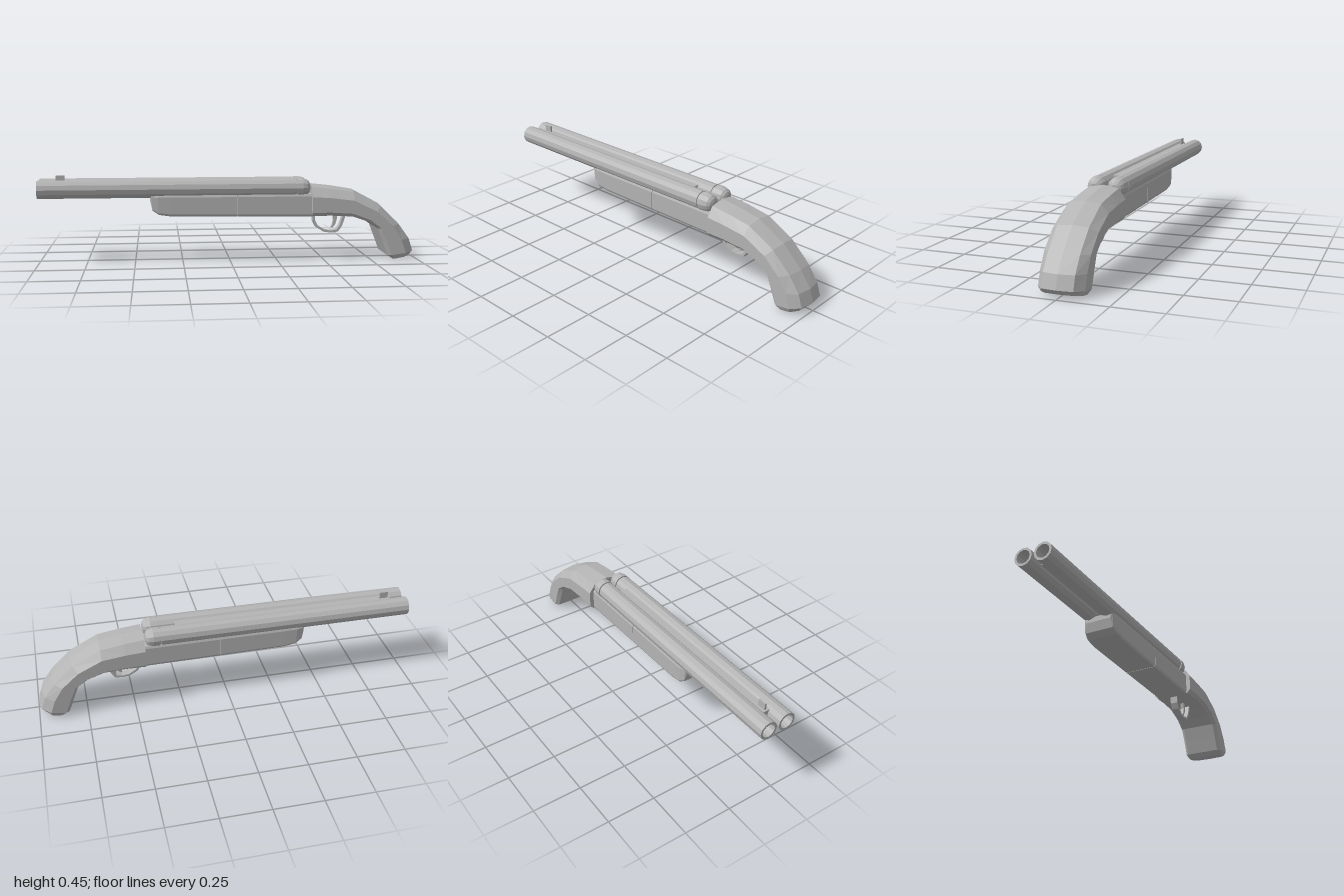
import * as THREE from 'three';

const steel = new THREE.MeshStandardMaterial({ color: 0xb4b4b4, flatShading: true });
steel.name = 'grey';

function add(parent, name, geometry) {
  const mesh = new THREE.Mesh(geometry, steel);
  mesh.name = name;
  parent.add(mesh);
  return mesh;
}

// Closed skin over loops that advance along x (each loop runs top, +z, bottom, -z)
function loft(loops) {
  const n = loops[0].length, last = (loops.length - 1) * n, index = [];
  for (let i = 0; i < loops.length - 1; i++) {
    for (let j = 0; j < n; j++) {
      const a = i * n + j, b = i * n + (j + 1) % n;
      index.push(a, b, b + n, a, b + n, a + n);
    }
  }
  for (let j = 1; j < n - 1; j++) {
    index.push(0, j + 1, j, last, last + j, last + j + 1);
  }
  const g = new THREE.BufferGeometry();
  g.setAttribute('position', new THREE.Float32BufferAttribute(loops.flat(2), 3));
  g.setIndex(index);
  g.computeVertexNormals();
  return g;
}

// Mirrored section between a top and a bottom point; half is a list of [z, height 0..1]
function section(half, [tx, ty, bx, by, w = 1]) {
  const mirrored = half.filter(([z]) => z > 0).map(([z, t]) => [-z, t]).reverse();
  return [...half, ...mirrored].map(([z, t]) => [bx + (tx - bx) * t, by + (ty - by) * t, z * w]);
}

// Profile [radius, x] turned around the x axis
function turned(profile, sides) {
  const g = new THREE.LatheGeometry(profile.map(([r, x]) => new THREE.Vector2(r, x)), sides);
  return g.rotateZ(-Math.PI / 2);
}

// Outline in the xy plane, extruded evenly about z = 0
function plate(points, depth) {
  const shape = new THREE.Shape(points.map(([x, y]) => new THREE.Vector2(x, y)));
  return new THREE.ExtrudeGeometry(shape, { depth, bevelEnabled: false }).translate(0, 0, -depth / 2);
}

export function createModel() {
  const model = new THREE.Group();
  model.name = 'doubleBarrel';

  // Hollow barrels with domed breech caps behind a narrow groove
  for (const side of [1, -1]) {
    const barrel = new THREE.Group();
    barrel.name = side > 0 ? 'leftBarrel' : 'rightBarrel';
    barrel.position.set(0, 0.388, side * 0.053);
    add(barrel, 'tube', turned([[0, 0.3], [0.036, 0.3], [0.036, -1], [0.048, -1], [0.048, 0.345], [0, 0.345]], 12));
    add(barrel, 'groove', turned([[0.042, 0.34], [0.042, 0.36]], 12));
    add(barrel, 'breechCap', turned([[0, 0.353], [0.049, 0.353], [0.049, 0.385], [0.043, 0.407], [0.032, 0.42], [0.018, 0.426], [0, 0.426]], 12));
    model.add(barrel);
  }

  // Rib between the barrels and the front sight
  add(model, 'rib', new THREE.BoxGeometry(1.18, 0.045, 0.04)).position.set(-0.33, 0.398, 0);
  add(model, 'frontSight', new THREE.BoxGeometry(0.045, 0.045, 0.01)).position.set(-0.888, 0.433, 0);

  // Fore-end with a tapered nose, then the receiver
  const boxy = [[0.085, 1], [0.09, 0.9], [0.09, 0.1], [0.084, 0]];
  const nose = [
    [-0.42, 0.35, -0.42, 0.325, 0.8],
    [-0.415, 0.355, -0.408, 0.275, 0.9],
    [-0.38, 0.355, -0.375, 0.253, 0.98],
    [-0.31, 0.355, -0.31, 0.244],
    [0.034, 0.355, 0.034, 0.24],
  ];
  add(model, 'foreEnd', loft(nose.map((s) => section(boxy, s))));
  const receiver = [[0.037, 0.355, 0.037, 0.24], [0.44, 0.355, 0.44, 0.236]];
  add(model, 'receiver', loft(receiver.map((s) => section(boxy, s))));

  // Curved faceted grip: top and bottom points of each station
  const faceted = [[0, 1], [0.077, 0.92], [0.113, 0.62], [0.113, 0.12], [0.095, 0]];
  const grip = [
    [0.432, 0.405, 0.432, 0.238],
    [0.54, 0.393, 0.53, 0.24],
    [0.66, 0.373, 0.65, 0.234],
    [0.81, 0.293, 0.735, 0.205],
    [0.917, 0.19, 0.788, 0.168],
    [0.976, 0.112, 0.815, 0.1],
    [0.998, 0.045, 0.845, 0.022],
    [0.975, 0.02, 0.875, 0.002, 0.9],
  ];
  add(model, 'grip', loft(grip.map((s) => section(faceted, s))));

  // Trigger guard strap and curved trigger
  const outer = [[0.45, 0.245], [0.452, 0.2], [0.468, 0.168], [0.51, 0.142], [0.55, 0.136], [0.59, 0.142], [0.612, 0.175], [0.635, 0.245]];
  const inner = [[0.62, 0.245], [0.6, 0.18], [0.582, 0.153], [0.55, 0.147], [0.515, 0.153], [0.478, 0.176], [0.464, 0.204], [0.462, 0.245]];
  add(model, 'triggerGuard', plate([...outer, ...inner], 0.04));
  add(model, 'trigger', plate([[0.56, 0.245], [0.566, 0.205], [0.56, 0.178], [0.55, 0.163], [0.562, 0.163], [0.577, 0.182], [0.584, 0.21], [0.585, 0.245]], 0.02));

  return model;
}
